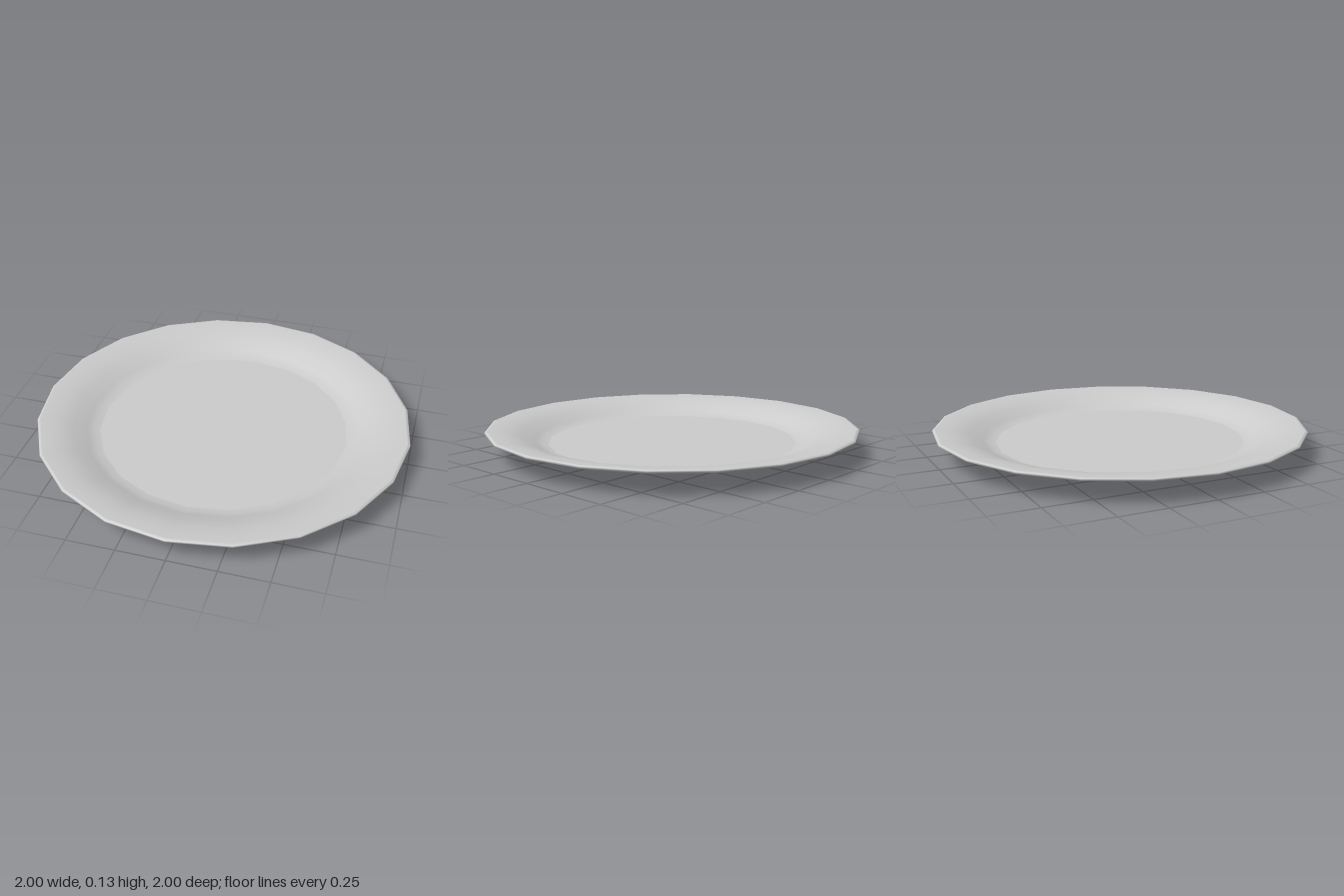
import * as THREE from 'three';

const SIDES = 20;

export function createModel() {
  const plate = new THREE.Group();
  plate.name = 'plate';
  const material = new THREE.MeshStandardMaterial({ color: 0xcccccc });

  // Each part is a ring of the plate; profile points are [radius, height],
  // running from the base centre outward, over the rim and back in.
  function addRing(name, profile) {
    const points = profile.map(([r, y]) => new THREE.Vector2(r, y));
    const mesh = new THREE.Mesh(new THREE.LatheGeometry(points, SIDES), material);
    mesh.name = name;
    plate.add(mesh);
  }

  // Flat foot the plate stands on
  addRing('base', [[0, 0], [0.5, 0]]);

  // Sloping underside, curving slightly up to the edge
  addRing('underside', [[0.5, 0], [0.68, 0.038], [0.87, 0.08], [0.95, 0.101], [0.99, 0.113]]);

  // Thin rounded lip
  addRing('lip', [[0.99, 0.113], [1, 0.119], [0.997, 0.126], [0.985, 0.129]]);

  // Upper rim dipping through a curved wall into the well
  addRing('rim', [
    [0.985, 0.129], [0.94, 0.126], [0.88, 0.117], [0.81, 0.098],
    [0.74, 0.064], [0.705, 0.051], [0.67, 0.045],
  ]);

  // Flat eating surface
  addRing('well', [[0.67, 0.045], [0, 0.045]]);

  return plate;
}
